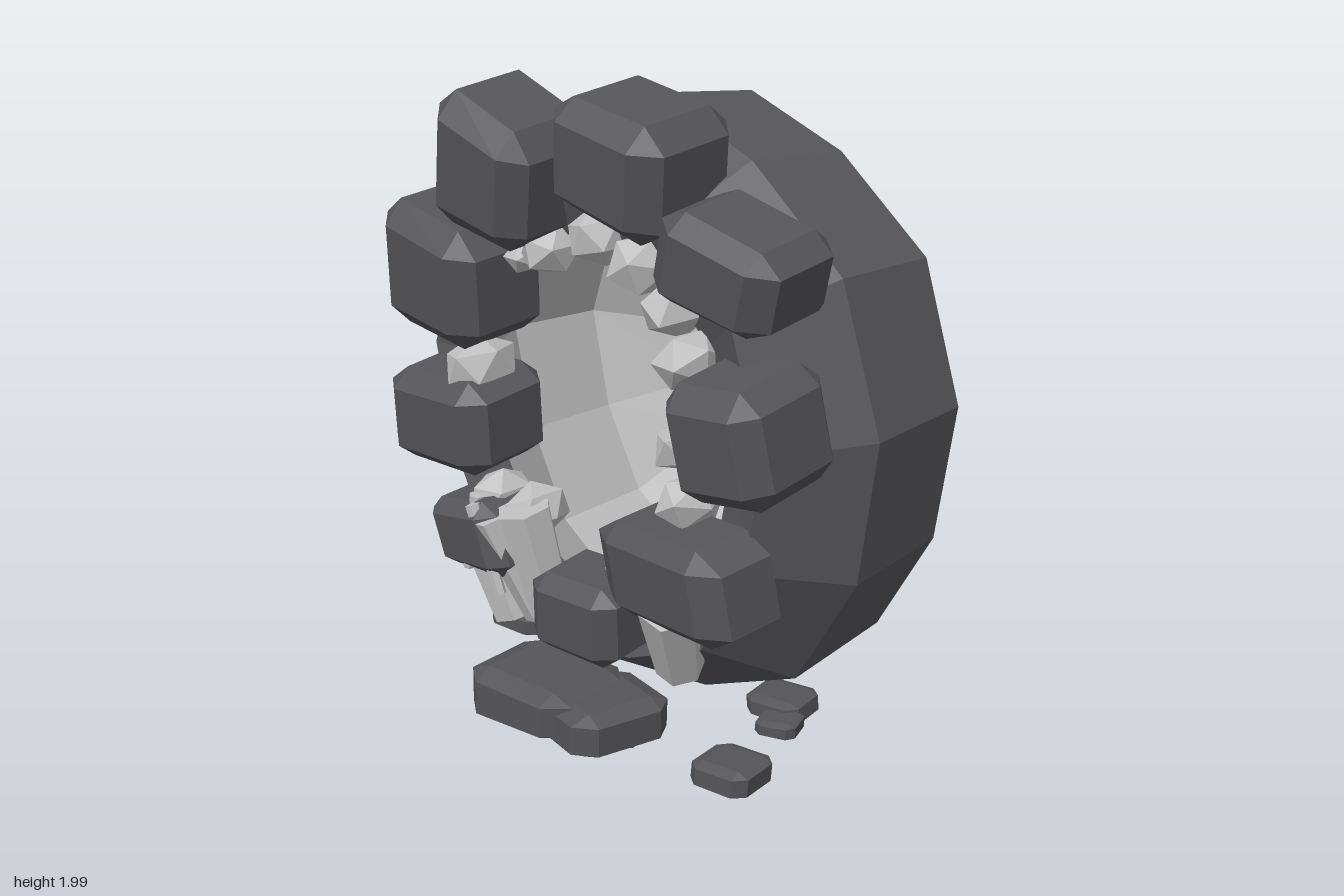
import * as THREE from 'three';
import { ConvexGeometry } from 'three/addons/geometries/ConvexGeometry.js';

const material = (name, color) => Object.assign(new THREE.MeshStandardMaterial({ color }), { name });

// Small seeded generator for slight irregularity, -1 to 1
let seed = 7;
const rnd = () => {
  seed = (seed * 16807) % 2147483647;
  return (seed / 2147483647) * 2 - 1;
};

const CENTRE_Y = 0.97;
// Corners of the widest ring about its centre, counter-clockwise from the +x side
const OUTLINE = [
  [0.9, 0.09], [0.75, 0.54], [0.4, 0.82], [0.01, 0.96], [-0.4, 0.86], [-0.73, 0.55], [-0.9, 0.11],
  [-0.79, -0.34], [-0.59, -0.72], [-0.22, -0.96], [0.22, -0.91], [0.6, -0.75], [0.83, -0.37],
];
const SIDES = OUTLINE.length;

// One ring of corners around the z axis
const ring = (scale, z, wobble = 0, shift = 0) =>
  OUTLINE.map(([x, y]) => [x * scale + shift, CENTRE_Y + y * scale, z + rnd() * wobble]);

// Faceted skin over a series of rings, optionally closed at its start or end
function loft(rings, capStart, capEnd) {
  const index = [];
  for (let i = 0; i < rings.length - 1; i++) {
    for (let k = 0; k < SIDES; k++) {
      const a = i * SIDES + k, b = i * SIDES + ((k + 1) % SIDES);
      index.push(a, b, b + SIDES, a, b + SIDES, a + SIDES);
    }
  }
  const end = (rings.length - 1) * SIDES;
  for (let k = 1; k < SIDES - 1; k++) {
    if (capStart) index.push(0, k + 1, k);
    if (capEnd) index.push(end, end + k, end + k + 1);
  }
  const g = new THREE.BufferGeometry();
  g.setAttribute('position', new THREE.Float32BufferAttribute(rings.flat(2), 3));
  g.setIndex(index);
  const flat = g.toNonIndexed();
  flat.computeVertexNormals();
  return flat;
}

// Block with every edge and corner cut, slightly sheared and tapered
function choppedBlock(w, h, d) {
  const shear = rnd() * 0.1, taper = rnd() * 0.1;
  const points = [];
  for (const sx of [-1, 1]) for (const sy of [-1, 1]) for (const sz of [-1, 1]) {
    for (let flush = 0; flush < 3; flush++) {
      const [x, y, z] = [[w, sx], [h, sy], [d, sz]].map(([size, s], i) => s * size * (i === flush ? 0.5 : 0.32));
      points.push(new THREE.Vector3(x + shear * y, y * (1 + (taper * x) / (w / 2)), z));
    }
  }
  return new ConvexGeometry(points);
}

export function createModel() {
  seed = 7;
  const model = new THREE.Group();
  const shellMat = material('dark shell rock', 0x58585c);
  const stoneMat = material('grey stone', 0x555559);
  const hollowMat = material('pale hollow', 0xb8b8b8);
  const crystalMat = material('pale crystal', 0xbfbfbf);

  const add = (name, geometry, mat, pos = [0, 0, 0], rot = [0, 0, 0]) => {
    const mesh = new THREE.Mesh(geometry, mat);
    mesh.name = name;
    mesh.position.set(...pos);
    mesh.rotation.set(...rot);
    model.add(mesh);
    return mesh;
  };

  // Split rock: outer shell, then the deep hollow following it inside
  const rim = ring(0.6, 0.27, 0.01);
  add('outerShell', loft([
    ring(0.545, -0.69, 0.016, 0.025),
    ring(0.95, -0.365, 0.01),
    ring(1, 0.05, 0.006),
    ring(0.8, 0.34, 0.01),
    rim,
  ], true, false), shellMat);
  add('hollow', loft([
    rim,
    ring(0.75, 0.04),
    ring(0.71, -0.27, 0.01),
    ring(0.41, -0.52, 0.03),
  ], false, true), hollowMat);

  // Ring of stones round the opening: x, y, z, width, height, depth, tilt
  const stones = [
    [-0.31, 1.71, 0.34, 0.4, 0.41, 0.39, -0.28],
    [0.15, 1.79, 0.26, 0.45, 0.35, 0.4, -0.2],
    [0.55, 1.55, 0.25, 0.43, 0.28, 0.36, -0.24],
    [0.69, 1.12, 0.36, 0.34, 0.35, 0.4, 0.1],
    [0.49, 0.645, 0.4, 0.55, 0.3, 0.29, 0.06],
    [0.1, 0.41, 0.41, 0.35, 0.27, 0.27, 0],
    [-0.41, 0.52, 0.38, 0.35, 0.24, 0.27, 0.17],
    [-0.58, 0.86, 0.33, 0.46, 0.32, 0.35, 0.03],
    [-0.59, 1.335, 0.32, 0.45, 0.41, 0.37, -0.14],
  ];
  for (const [x, y, z, w, h, d, tilt] of stones) {
    add('rimStone', choppedBlock(w, h, d), stoneMat, [x, y, z], [0.1, 0.08 * rnd(), tilt]);
  }

  // Fallen slabs and pebbles at the foot: x, y, z, width, height, depth, turn
  const fallen = [
    [0, 0.135, 0.52, 0.41, 0.16, 0.36, 0.1],
    [0.2, 0.115, 0.48, 0.33, 0.14, 0.34, -0.2],
    [-0.21, 0.06, 0.36, 0.12, 0.05, 0.12, 0.4],
    [-0.23, 0.06, -0.06, 0.11, 0.06, 0.12, 0.3],
    [0.27, 0.06, 0.45, 0.12, 0.05, 0.12, 0.2],
    [-0.56, 0.07, 0.12, 0.21, 0.07, 0.17, 0.1],
    [0.48, 0.07, -0.03, 0.19, 0.07, 0.18, 0.2],
    [0.56, 0.06, 0.07, 0.13, 0.05, 0.13, 0.4],
    [0.68, 0.08, 0.41, 0.2, 0.085, 0.19, 0.15],
  ];
  for (const [x, y, z, w, h, d, turn] of fallen) {
    add(w > 0.25 ? 'fallenSlab' : 'pebble', choppedBlock(w, h, d), stoneMat, [x, y, z], [0, turn, 0]);
  }

  // Small crystals lining the opening, pointing forward: x, y, z, radius, stretch
  const crystals = [
    [0.01, 1.54, 0.28, 0.095, 1.3], [0.2, 1.49, 0.29, 0.1, 1.3], [0.34, 1.39, 0.3, 0.09, 1.4],
    [0.42, 1.26, 0.33, 0.09, 1.4], [0.47, 1.03, 0.35, 0.085, 2], [0.46, 0.85, 0.36, 0.085, 1.5],
    [-0.48, 1.04, 0.35, 0.1, 1.4], [-0.31, 1.42, 0.29, 0.06, 1.5], [-0.2, 1.46, 0.29, 0.085, 1.4],
    [0.2, 0.6, 0.34, 0.08, 1.4], [-0.38, 0.63, 0.36, 0.09, 1.3], [-0.21, 0.63, 0.36, 0.09, 1.3],
  ];
  for (const [x, y, z, r, stretch] of crystals) {
    const mesh = add('smallCrystal', new THREE.IcosahedronGeometry(r, 0), crystalMat, [x, y, z], [0, 0, rnd() * 2]);
    mesh.scale.z = stretch;
  }

  // Long crystal shafts along the lower edge: x, y, z, radius, length, tilt
  const shafts = [
    [-0.36, 0.39, 0.38, 0.105, 0.32, 0.35], [-0.26, 0.44, 0.41, 0.07, 0.38, 0.25],
    [-0.16, 0.46, 0.4, 0.09, 0.42, 0.12], [0.41, 0.4, 0.37, 0.1, 0.27, -0.24],
    [-0.31, 0.5, 0.49, 0.025, 0.3, 0.35], [-0.4, 0.53, 0.47, 0.025, 0.26, -0.3],
  ];
  for (const [x, y, z, r, h, tilt] of shafts) {
    const g = new THREE.CylinderGeometry(r, r * 0.75, h, 6).toNonIndexed();
    g.computeVertexNormals();
    add('crystalShaft', g, crystalMat, [x, y, z], [0.22, rnd(), tilt]);
  }
  return model;
}
